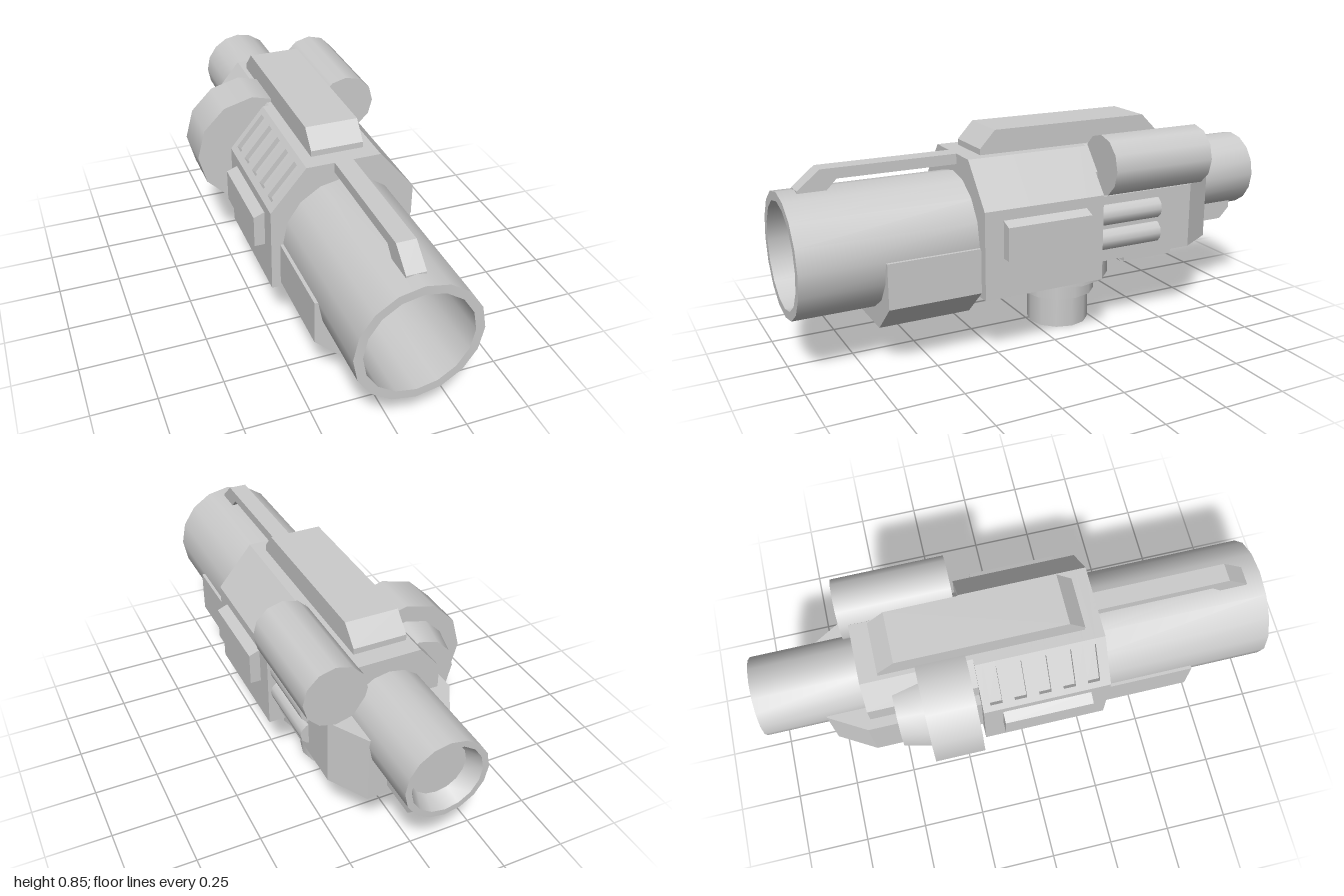
import * as THREE from 'three';
import { toCreasedNormals } from 'three/addons/utils/BufferGeometryUtils.js';

const CX = 0.035; // the body's axis of symmetry
const material = new THREE.MeshStandardMaterial({ color: 0xcccccc });

const shapeOf = (points) => new THREE.Shape(points.map(([x, y]) => new THREE.Vector2(x, y)));
const extrude = (shape, depth) =>
  new THREE.ExtrudeGeometry(shape, { depth, bevelEnabled: false, curveSegments: 16 });

// Front outline (x, y) pulled from z0 to z1
function alongZ(points, z0, z1) {
  return extrude(shapeOf(points), z1 - z0).translate(0, 0, z0);
}

// Side outline (z, y) pulled across x, centred on cx
function alongX(points, width, cx = CX) {
  return extrude(shapeOf(points), width).rotateY(-Math.PI / 2).translate(cx + width / 2, 0, 0);
}

// Round part along z, radius r0 at z0 and r1 at z1
function rod(r0, r1, z0, z1, x, y, sides) {
  return new THREE.CylinderGeometry(r1, r0, z1 - z0, sides)
    .rotateX(Math.PI / 2).translate(x, y, (z0 + z1) / 2);
}

// Turned tube; profile is [radius, distance along the axis]
function tube(profile, direction, y) {
  const lathe = new THREE.LatheGeometry(profile.map(([r, d]) => new THREE.Vector2(r, d)), 16);
  return toCreasedNormals(lathe.rotateX(direction * Math.PI / 2), 0.6).translate(CX, y, 0);
}

export function createModel() {
  const model = new THREE.Group();
  const add = (name, geometry, parent = model) => {
    const mesh = new THREE.Mesh(geometry, material);
    mesh.name = name;
    parent.add(mesh);
    return mesh;
  };

  // Main body, in slices so that vents are cut in its left-hand slope
  const body = new THREE.Group();
  body.name = 'mainBody';
  model.add(body);
  const base = [[-0.248, 0.25], [0.318, 0.25], [0.318, 0.59], [0.18, 0.755], [-0.11, 0.755]];
  const end = [[-0.248, 0.59]];
  const notch = [[-0.125, 0.737], [-0.11, 0.724], [-0.215, 0.599], [-0.23, 0.6115]];
  const solid = [...base, ...end];
  const vented = [...base, ...notch, ...end];
  const step = 0.43 / 9;
  add('bodyRear', alongZ(solid, -0.17, -0.14), body);
  for (let i = 0; i < 9; i++) {
    const z = -0.14 + i * step;
    add(i % 2 ? 'ventSlat' : 'ventSlot', alongZ(i % 2 ? solid : vented, z, z + step), body);
  }
  add('bodyFront', alongZ(solid, 0.29, 0.33), body);

  // Side plates with a sloping upper edge
  for (const s of [-1, 1]) {
    const outer = CX + s * 0.325, inner = CX + s * 0.28;
    const outline = [[inner, 0.405], [outer, 0.405], [outer, 0.533], [inner, 0.551]];
    add('sidePlate', alongZ(s > 0 ? outline : outline.reverse(), -0.095, 0.255));
  }

  // Front barrel, with its cradle and top strip
  add('frontBarrel', tube([[0, 0.28], [0.236, 0.28], [0.236, 1], [0.202, 1], [0.202, 0.36], [0, 0.36]], 1, 0.448));
  const cradle = shapeOf([[-0.213, 0.443], [-0.213, 0.27], [-0.095, 0.157], [0.162, 0.157],
    [0.283, 0.27], [0.283, 0.443], [0.26, 0.443]]);
  cradle.absarc(CX, 0.443, 0.225, 0, Math.PI, true);
  add('barrelCradle', extrude(cradle, 0.36).translate(0, 0, 0.33));
  add('barrelStrip', alongX([[0.32, 0.715], [0.79, 0.715], [0.83, 0.675], [0.935, 0.675],
    [0.935, 0.685], [0.85, 0.755], [0.32, 0.755]], 0.073));

  // Top rail
  add('topRail', alongX([[0.262, 0.74], [0.262, 0.778], [0.2, 0.845], [-0.455, 0.845],
    [-0.523, 0.778], [-0.523, 0.74]], 0.204));

  // Rear body: lower block with tapered end, upper block with sloped shoulders
  const plan = [[-0.205, 0.16], [0.275, 0.16], [0.275, 0.61], [0.19, 0.755], [-0.12, 0.755], [-0.205, 0.61]];
  add('rearBody', extrude(shapeOf(plan), 0.265).rotateX(-Math.PI / 2).translate(0, 0.305, 0));
  add('rearUpperBody', alongZ([[-0.165, 0.5], [0.235, 0.5], [0.235, 0.66], [0.155, 0.755],
    [-0.085, 0.755], [-0.165, 0.66]], -0.595, -0.16));

  // Rear barrel with a shallow recess, and the lug beneath it
  add('rearBarrel', tube([[0, 0.55], [0.155, 0.55], [0.155, 1], [0.132, 1], [0.105, 0.94], [0, 0.94]], -1, 0.545));
  add('rearLug', alongX([[-0.7, 0.42], [-0.7, 0.34], [-0.9, 0.34], [-0.945, 0.385], [-0.945, 0.42]], 0.16));

  // Scope on the left shoulder, drum on the right
  add('scope', rod(0.12, 0.12, -0.63, -0.19, 0.255, 0.69, 12));
  add('drum', rod(0.235, 0.235, -0.385, -0.195, -0.145, 0.555, 12));
  add('drumCap', rod(0.145, 0.17, -0.49, -0.385, -0.145, 0.555, 12));

  // Pair of small side canisters
  for (const y of [0.395, 0.495]) {
    add('sideCanister', rod(0.045, 0.045, -0.45, -0.165, 0.262, y, 12));
  }

  // Stepped grip under the body: [radius, bottom, top]
  [['gripStub', 0.126, 0, 0.14], ['gripCollar', 0.15, 0.13, 0.21], ['gripMount', 0.205, 0.2, 0.32]]
    .forEach(([name, r, y0, y1]) => add(name,
      new THREE.CylinderGeometry(r, r, y1 - y0, 12).translate(CX, (y0 + y1) / 2, -0.13)));

  // Blocks on the underside
  add('undersideBlock', alongZ([[-0.075, 0.26], [-0.075, 0.205], [-0.035, 0.165], [0.105, 0.165],
    [0.145, 0.205], [0.145, 0.26]], 0, 0.2));
  add('undersideKeel', alongX([[-0.36, 0.31], [-0.36, 0.25], [-0.4, 0.217], [-0.61, 0.217],
    [-0.65, 0.265], [-0.65, 0.31]], 0.14));
  add('undersidePlate', new THREE.BoxGeometry(0.3, 0.06, 0.23).translate(CX, 0.28, -0.475));

  return model;
}
